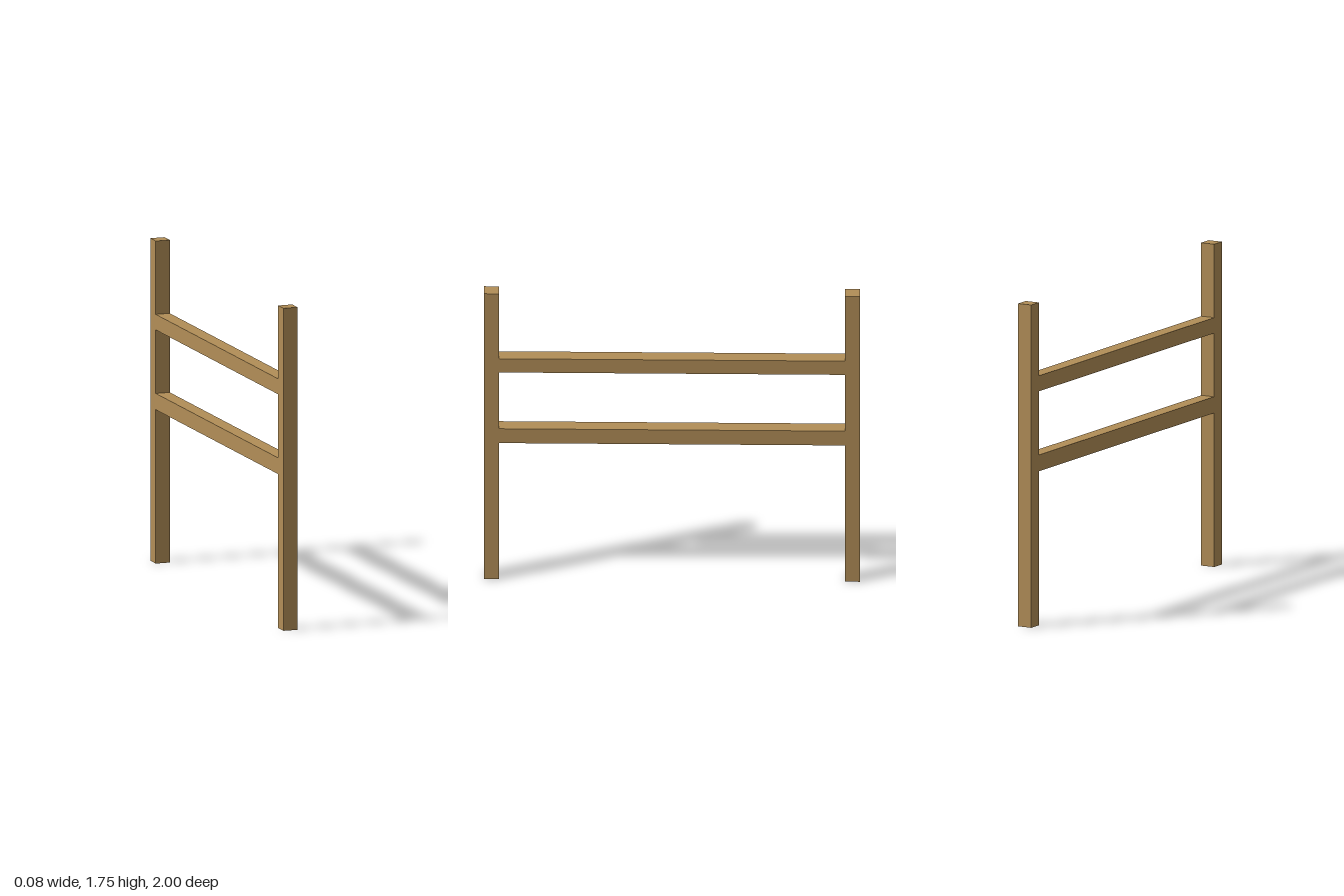
import * as THREE from 'three';

const WIDTH = 0.08;   // timber thickness along x and z
const HEIGHT = 1.75;  // post height
const LENGTH = 2;     // overall length along z

export function createModel() {
  const fence = new THREE.Group();
  fence.name = 'fenceSection';
  const wood = new THREE.MeshStandardMaterial({ color: 0xb28e57, flatShading: true });

  const addBeam = (name, height, depth, y, z) => {
    const beam = new THREE.Mesh(new THREE.BoxGeometry(WIDTH, height, depth), wood);
    beam.name = name;
    beam.position.set(0, y, z);
    fence.add(beam);
  };

  // Upright posts at both ends
  for (const [name, side] of [['frontPost', 1], ['backPost', -1]]) {
    addBeam(name, HEIGHT, WIDTH, HEIGHT / 2, side * (LENGTH - WIDTH) / 2);
  }

  // Horizontal rails fitted between the posts
  for (const [name, bottom, top] of [['lowerRail', 0.835, 0.923], ['upperRail', 1.268, 1.352]]) {
    addBeam(name, top - bottom, LENGTH - 2 * WIDTH, (top + bottom) / 2, 0);
  }

  return fence;
}
